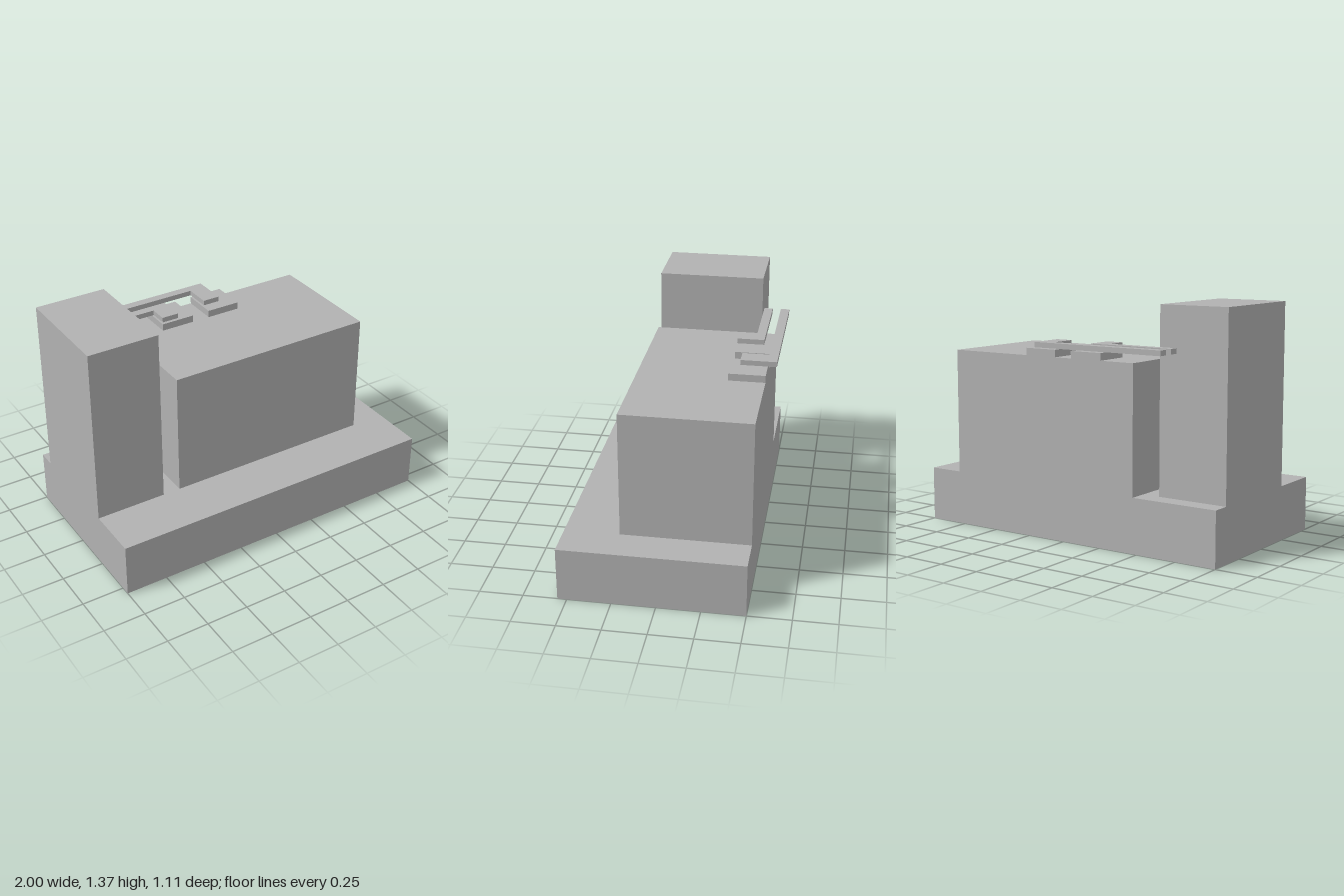
import * as THREE from 'three';

export function createModel() {
  const group = new THREE.Group();
  const grey = new THREE.MeshStandardMaterial({ color: 0xb2b2b2 });
  grey.name = 'plain grey';

  const add = (name, geometry) => {
    const mesh = new THREE.Mesh(geometry, grey);
    mesh.name = name;
    group.add(mesh);
    return mesh;
  };

  // Box given by its limits along each axis
  const block = (name, [x0, x1], [y0, y1], [z0, z1]) =>
    add(name, new THREE.BoxGeometry(x1 - x0, y1 - y0, z1 - z0))
      .position.set((x0 + x1) / 2, (y0 + y1) / 2, (z0 + z1) / 2);

  // Flat plate: an outline of [x, z] corners raised from y0 to y1
  const plate = (name, corners, y0, y1) => {
    const shape = new THREE.Shape(corners.map(([x, z]) => new THREE.Vector2(x, -z)));
    const geometry = new THREE.ExtrudeGeometry(shape, { depth: y1 - y0, bevelEnabled: false });
    add(name, geometry.rotateX(-Math.PI / 2)).position.y = y0;
  };

  // Main masses
  block('base', [-1, 1], [0, 0.317], [-0.5, 0.553]);
  block('tower', [-1, -0.58], [0.317, 1.37], [-0.395, 0.237]);
  block('body', [-0.475, 0.787], [0.317, 1.055], [-0.5, 0.237]);

  // Raised pads on the body
  block('rightPad', [-0.262, -0.058], [1.055, 1.097], [-0.5, -0.29]);
  block('leftPad', [0.052, 0.258], [1.055, 1.097], [-0.5, -0.29]);

  // L-shaped bars hovering above the pads and running past the tower
  plate('outerBar', [
    [-0.685, -0.553], [0.155, -0.553], [0.155, -0.345],
    [0.052, -0.345], [0.052, -0.5], [-0.685, -0.5],
  ], 1.11, 1.14);
  plate('innerBar', [
    [-0.685, -0.45], [-0.16, -0.45], [-0.16, -0.29],
    [-0.262, -0.29], [-0.262, -0.398], [-0.685, -0.398],
  ], 1.11, 1.14);

  return group;
}
